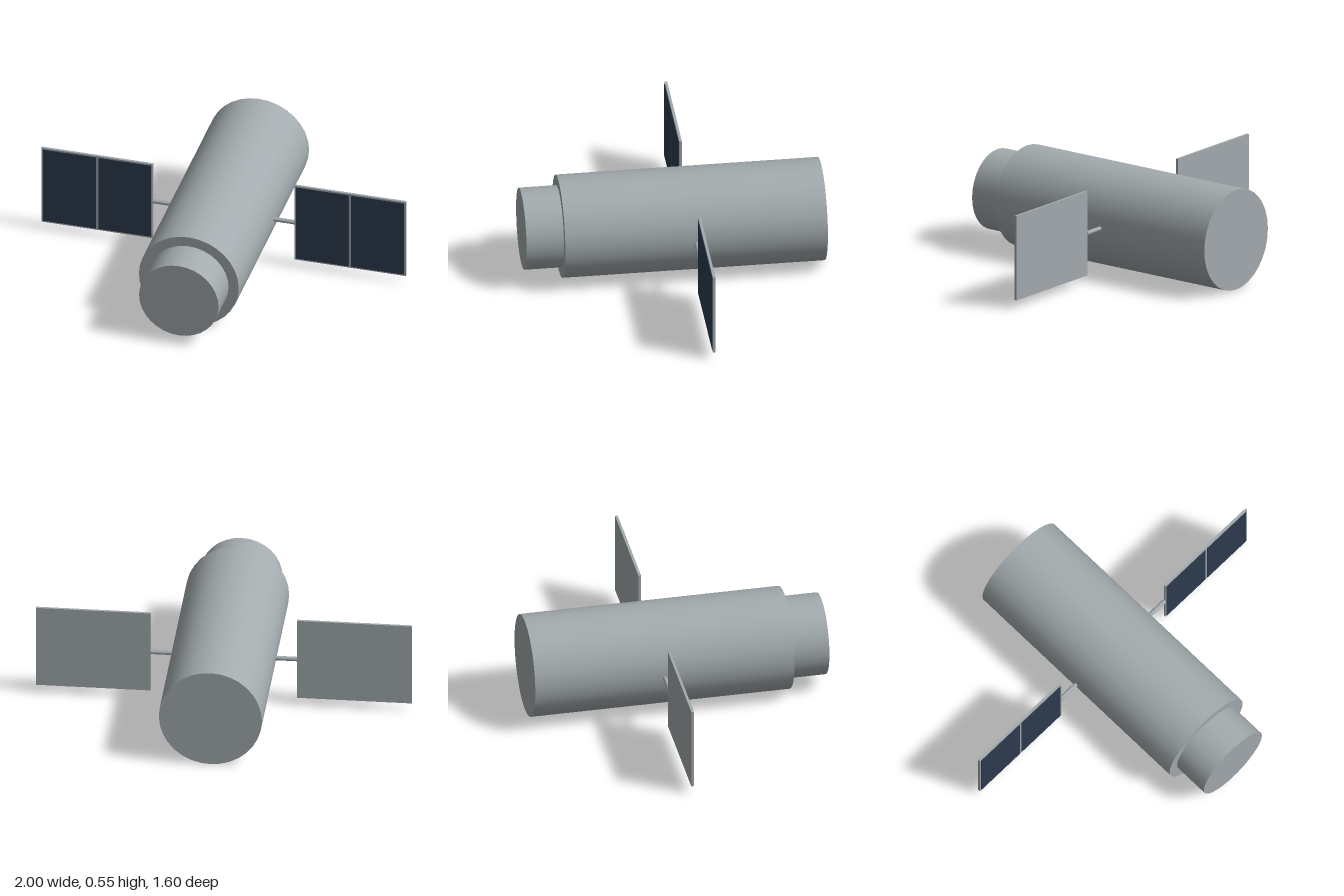
import * as THREE from 'three';

export function createModel() {
  const model = new THREE.Group();
  model.name = 'satellite';

  const hullGrey = new THREE.MeshStandardMaterial({ color: 0xa3abae });
  hullGrey.name = 'hull grey';
  const cellBlue = new THREE.MeshStandardMaterial({ color: 0x2d3c4f });
  cellBlue.name = 'cell blue';

  const axisY = 0.275; // height of the body axis
  const wingZ = -0.1; // plane of the solar wings

  const add = (parent, name, geometry, material, x, y, z) => {
    const mesh = new THREE.Mesh(geometry, material);
    mesh.name = name;
    mesh.position.set(x, y, z);
    parent.add(mesh);
    return mesh;
  };

  // Cylinder lying along z between two depths
  const drum = (name, radius, z0, z1) => {
    const geometry = new THREE.CylinderGeometry(radius, radius, z1 - z0, 32).rotateX(Math.PI / 2);
    add(model, name, geometry, hullGrey, 0, axisY, (z0 + z1) / 2);
  };
  drum('body', 0.274, -0.8, 0.6);
  drum('nose', 0.218, 0.6, 0.8);

  // One solar wing per side: strut, backing panel and two cell plates
  for (const side of [1, -1]) {
    const wing = new THREE.Group();
    wing.name = side > 0 ? 'leftWing' : 'rightWing';
    wing.position.set(0, axisY, wingZ);
    model.add(wing);

    const strut = new THREE.CylinderGeometry(0.012, 0.012, 0.13, 12).rotateZ(Math.PI / 2);
    add(wing, 'strut', strut, hullGrey, side * 0.325, 0, 0);
    add(wing, 'panel', new THREE.BoxGeometry(0.61, 0.464, 0.014), hullGrey, side * 0.695, 0.002, 0);
    for (const x of [0.5425, 0.8455]) {
      add(wing, 'solarCells', new THREE.BoxGeometry(0.289, 0.446, 0.004), cellBlue, side * x, 0.002, 0.008);
    }
  }
  return model;
}
